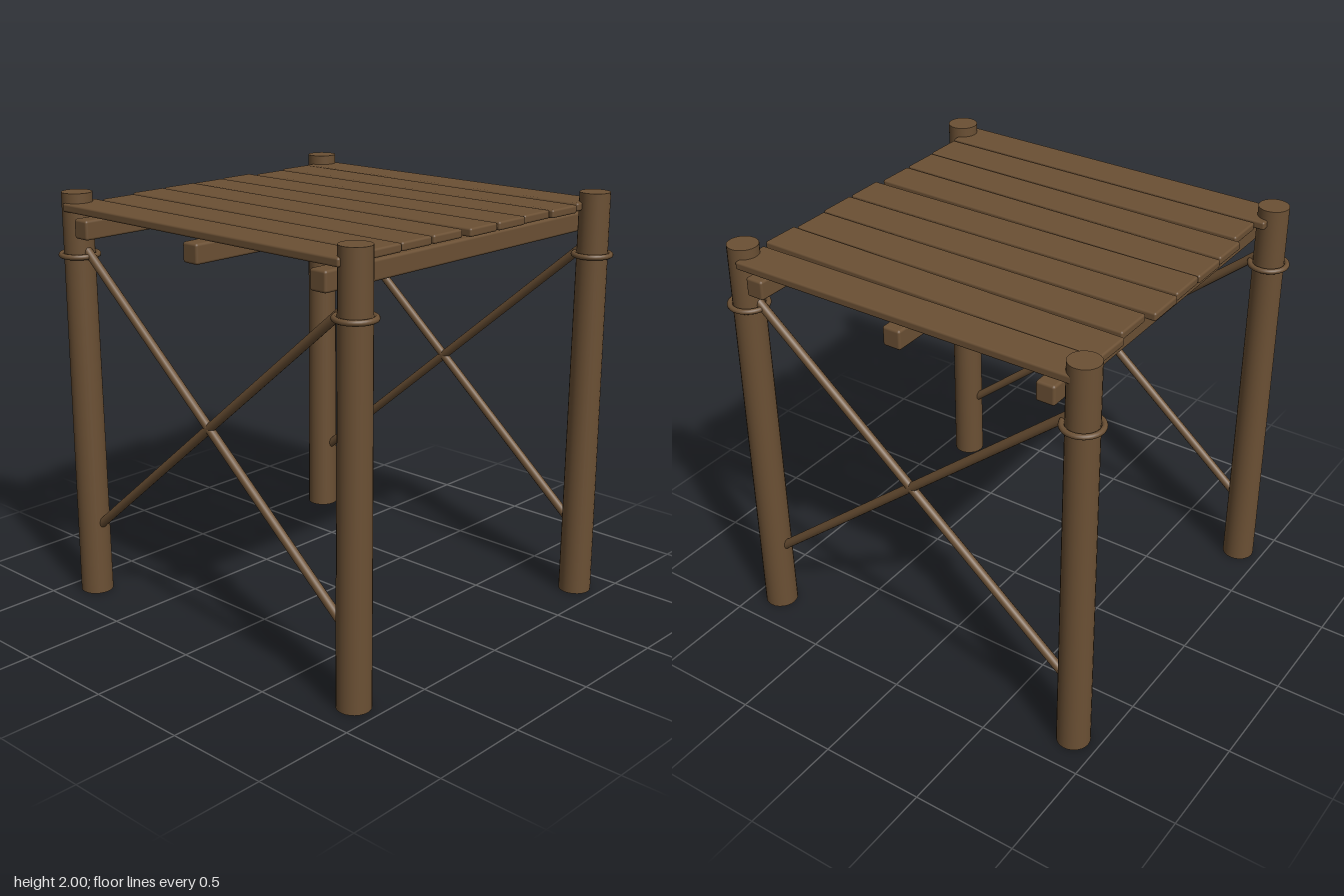
import * as THREE from 'three';
import { RoundedBoxGeometry } from 'three/addons/geometries/RoundedBoxGeometry.js';

const PX = 0.82, PZ = 0.875; // post centres

export function createModel() {
  const model = new THREE.Group();
  model.name = 'woodenPlatform';
  const wood = new THREE.MeshStandardMaterial({ color: 0x6b5034 });
  wood.name = 'brown wood';

  function add(name, geometry, x, y, z) {
    const mesh = new THREE.Mesh(geometry, wood);
    mesh.name = name;
    mesh.position.set(x, y, z);
    model.add(mesh);
    return mesh;
  }

  // Corner posts, slightly tapered, each with a rope ring
  const postGeometry = new THREE.CylinderGeometry(0.072, 0.079, 2, 24);
  const ringGeometry = new THREE.TorusGeometry(0.086, 0.013, 10, 32).rotateX(Math.PI / 2);
  for (const sx of [-1, 1]) {
    for (const sz of [-1, 1]) {
      add('post', postGeometry, sx * PX, 1, sz * PZ);
      add('ropeRing', ringGeometry, sx * PX, 1.706, sz * PZ);
    }
  }

  // Beams under the deck
  const beamGeometry = new RoundedBoxGeometry(1.81, 0.092, 0.09, 2, 0.012);
  for (const z of [-0.75, 0, 0.75]) add('beam', beamGeometry, 0, 1.848, z);

  // Deck planks: [x at back, x at front, back z, front z]
  const planks = [
    [-0.81, -0.81, -0.88, 0.86],
    [-0.608, -0.608, -0.84, 0.85],
    [-0.397, -0.413, -0.875, 0.845],
    [-0.195, -0.213, -0.88, 0.845],
    [-0.008, 0.003, -0.875, 0.865],
    [0.194, 0.203, -0.885, 0.865],
    [0.4, 0.4, -0.85, 0.855],
    [0.611, 0.592, -0.875, 0.87],
    [0.795, 0.812, -0.88, 0.85],
  ];
  for (const [xb, xf, zb, zf] of planks) {
    const geometry = new RoundedBoxGeometry(0.187, 0.039, zf - zb, 2, 0.01);
    const plank = add('deckPlank', geometry, (xb + xf) / 2, 1.935, (zb + zf) / 2);
    plank.rotation.y = Math.atan2(xf - xb, zf - zb);
  }

  // Crossed braces between the front and back posts on each side
  const rise = 1.37, run = 1.63;
  const braceGeometry = new THREE.CylinderGeometry(0.022, 0.022, Math.hypot(rise, run), 12);
  for (const sx of [-1, 1]) {
    for (const dir of [-1, 1]) {
      const brace = add('crossBrace', braceGeometry, sx * PX, 1.045, 0);
      brace.rotation.x = dir * Math.atan2(run, rise);
    }
  }

  return model;
}
